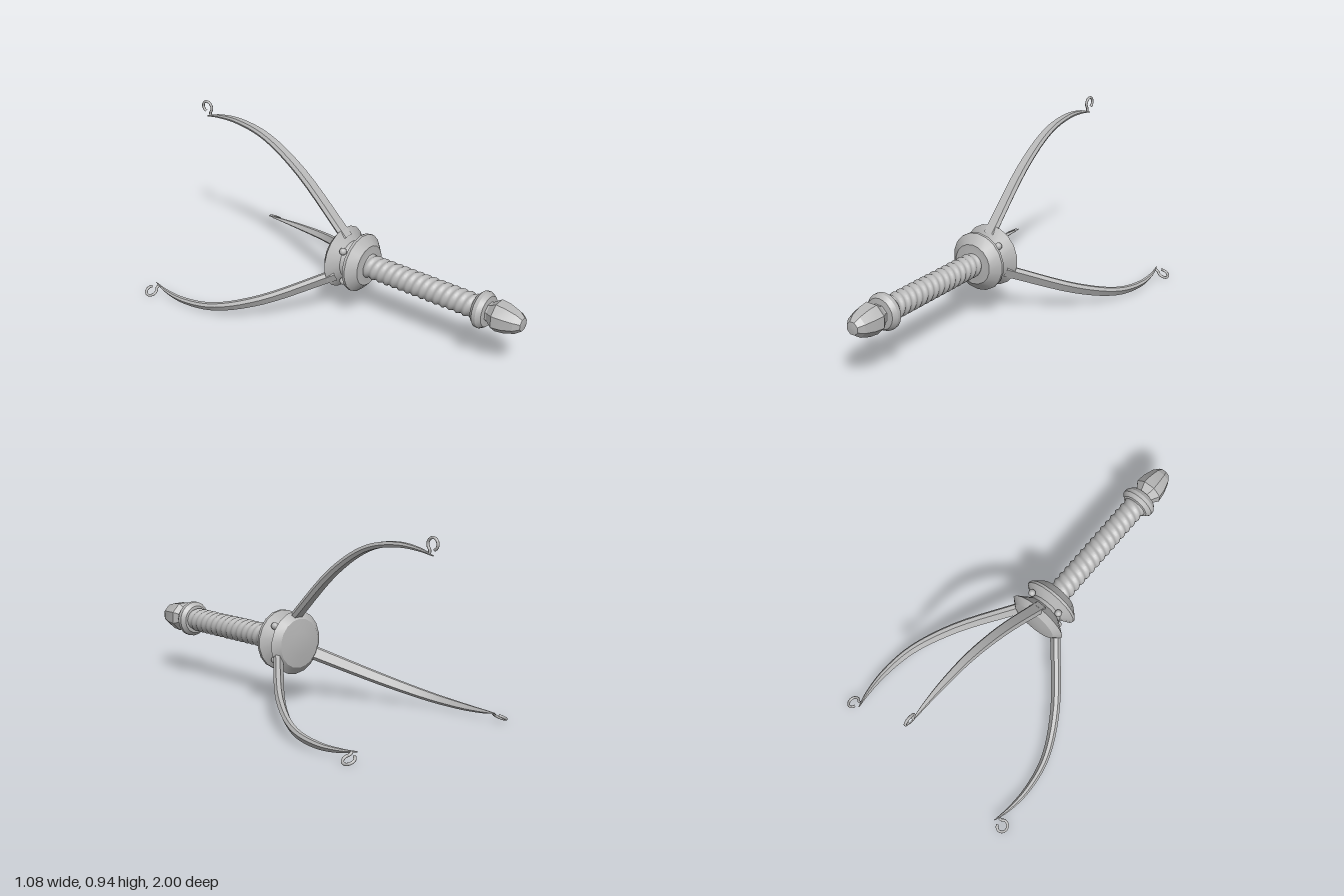
import * as THREE from 'three';
import { toCreasedNormals } from 'three/addons/utils/BufferGeometryUtils.js';

const AXIS_Y = 0.32;

// Turned part along z; profile is [radius, z] from back to front
function turned(profile, sides, crease, phi = 0) {
  const pts = profile.map(([r, z]) => new THREE.Vector2(r, z));
  const geo = new THREE.LatheGeometry(pts, sides, phi);
  geo.rotateX(Math.PI / 2);
  return toCreasedNormals(geo, crease);
}

// Cylinder with two wound spiral ridges
function gripGeometry() {
  const geo = new THREE.CylinderGeometry(0.06, 0.06, 0.68, 28, 140, true);
  const p = geo.attributes.position;
  for (let i = 0; i < p.count; i++) {
    const a = Math.atan2(p.getX(i), p.getZ(i));
    const r = 0.059 + 0.004 * Math.cos(2 * a + (p.getY(i) / 0.042) * Math.PI * 2);
    p.setXYZ(i, Math.sin(a) * r, p.getY(i), Math.cos(a) * r);
  }
  geo.computeVertexNormals();
  geo.rotateX(Math.PI / 2);
  geo.translate(0, 0, 0.43);
  return geo;
}

// Tapering six-sided blade swept along a curve, with sharp long edges
function prongGeometry() {
  // distance back, radius, width, thickness
  const stations = [
    [0.04, 0.115, 0.072, 0.036], [0.34, 0.4, 0.06, 0.035], [0.56, 0.53, 0.049, 0.03],
    [0.745, 0.565, 0.036, 0.025], [0.88, 0.556, 0.02, 0.016], [0.965, 0.535, 0.004, 0.004],
  ];
  const path = new THREE.CatmullRomCurve3(stations.map(([u, v]) => new THREE.Vector3(0, v, -u)));
  const sizes = new THREE.CatmullRomCurve3(stations.map(([, , w, t]) => new THREE.Vector3(w, t, 0)));
  const section = [[0.5, 0], [0.34, 0.5], [-0.34, 0.5], [-0.5, 0], [-0.34, -0.5], [0.34, -0.5]];
  const steps = 26;
  const pos = [], index = [];
  section.forEach((a, j) => {
    const b = section[(j + 1) % section.length];
    const start = pos.length / 3;
    for (let i = 0; i <= steps; i++) {
      const c = path.getPoint(i / steps), t = path.getTangent(i / steps), s = sizes.getPoint(i / steps);
      for (const [x, n] of [a, b]) {
        pos.push(x * s.x, c.y - t.z * n * s.y, c.z + t.y * n * s.y);
      }
      if (i < steps) {
        const k = start + i * 2;
        index.push(k, k + 2, k + 1, k + 1, k + 2, k + 3);
      }
    }
  });
  const geo = new THREE.BufferGeometry();
  geo.setAttribute('position', new THREE.Float32BufferAttribute(pos, 3));
  geo.setIndex(index);
  geo.computeVertexNormals();
  return geo;
}

// Small open curl at the prong tip
function curlGeometry() {
  const pts = [new THREE.Vector3(0, 0.546, -0.94)];
  for (let i = 0; i <= 14; i++) {
    const f = i / 14;
    const a = THREE.MathUtils.degToRad(230 - 300 * f);
    const r = 0.032 - 0.005 * f;
    pts.push(new THREE.Vector3(0, 0.588 + Math.sin(a) * r, -(0.96 + Math.cos(a) * r)));
  }
  return new THREE.TubeGeometry(new THREE.CatmullRomCurve3(pts), 40, 0.007, 8);
}

export function createModel() {
  const steel = new THREE.MeshStandardMaterial({ color: 0xb8b8b8 });
  steel.name = 'steel';
  const model = new THREE.Group();
  model.name = 'threeProngedWeapon';
  const body = new THREE.Group();
  body.name = 'body';
  body.position.y = AXIS_Y;
  model.add(body);

  const add = (name, geo, parent = body) => {
    const mesh = new THREE.Mesh(geo, steel);
    mesh.name = name;
    parent.add(mesh);
    return mesh;
  };

  // Waisted head with a shallow rounded back
  add('head', turned([
    [0, -0.1], [0.06, -0.098], [0.125, -0.09], [0.162, -0.06], [0.1, -0.012], [0.095, 0.008],
    [0.152, 0.042], [0.152, 0.056], [0.105, 0.1], [0.085, 0.1], [0.05, 0.105],
  ], 18, 0.5));

  // Studs in the waist
  for (let i = 0; i < 4; i++) {
    const a = Math.PI / 4 + i * Math.PI / 2;
    const stud = add('stud', new THREE.SphereGeometry(0.019, 12, 8));
    stud.position.set(Math.cos(a) * 0.122, Math.sin(a) * 0.122, 0);
  }

  // Handle
  add('grip', gripGeometry());
  add('collar', turned([
    [0.05, 0.742], [0.074, 0.745], [0.093, 0.765], [0.093, 0.785], [0.078, 0.808], [0.04, 0.812],
  ], 20, 0.5));
  add('pommel', turned([
    [0.05, 0.8], [0.052, 0.82], [0.08, 0.86], [0.074, 0.91], [0.056, 0.965], [0.034, 0.995], [0, 1],
  ], 8, 0.3, Math.PI / 8));

  // Three prongs, each ending in a curl
  const blade = prongGeometry(), curl = curlGeometry();
  for (let i = 0; i < 3; i++) {
    const prong = new THREE.Group();
    prong.name = 'prong';
    prong.rotation.z = (i * Math.PI * 2) / 3;
    add('prongBlade', blade, prong);
    add('prongCurl', curl, prong);
    body.add(prong);
  }
  return model;
}
